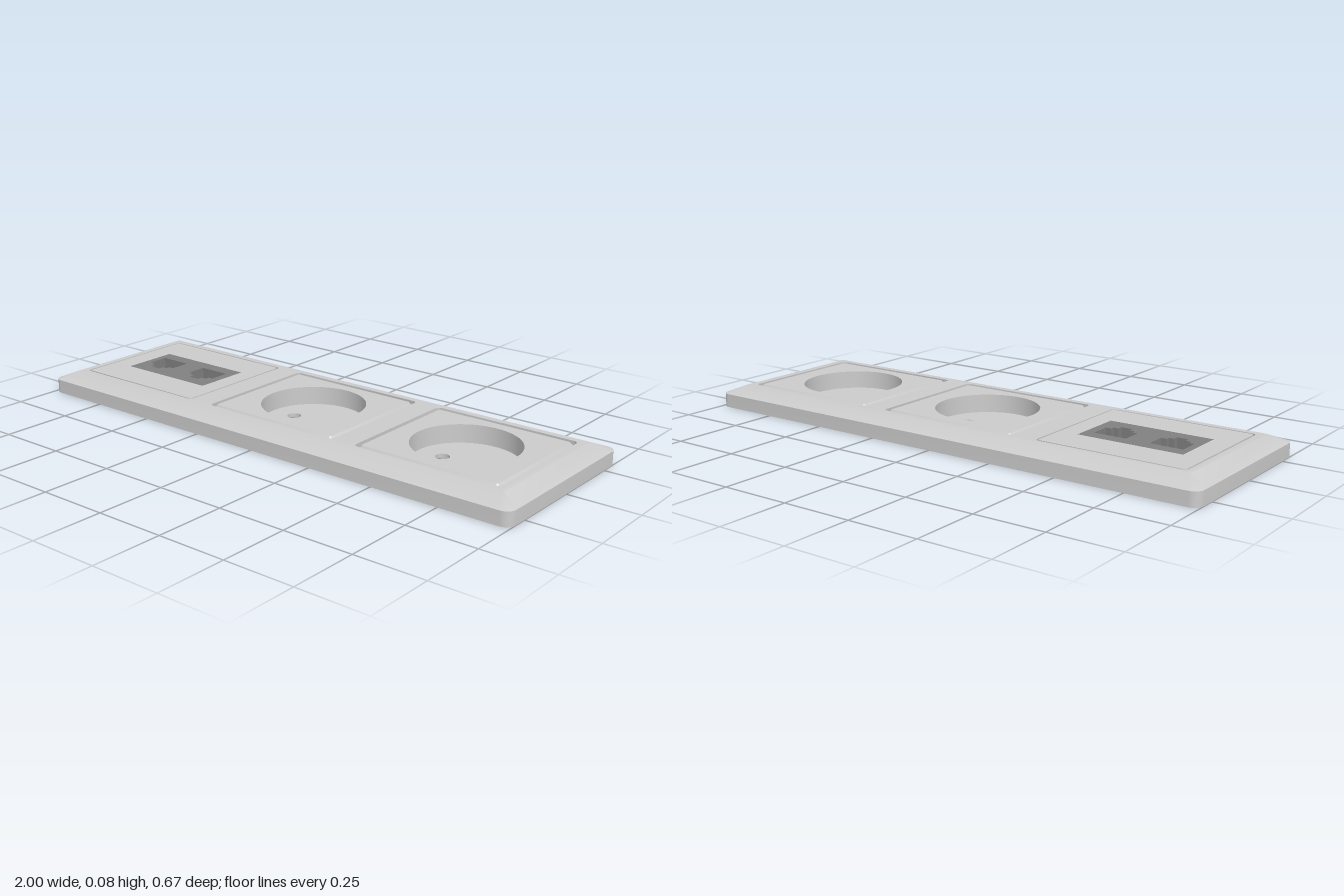
import * as THREE from 'three';
import { mergeGeometries, toCreasedNormals } from 'three/addons/utils/BufferGeometryUtils.js';

const grey = new THREE.MeshStandardMaterial({ color: 0xcccccc });
const dark = new THREE.MeshStandardMaterial({ color: 0x808080 });
const TOP = 0.078;

// Outlines are anticlockwise in the plan plane (x, -z).
function roundedRect(cx, w, d, r, n = 6) {
  const pts = [];
  [[1, 1], [-1, 1], [-1, -1], [1, -1]].forEach(([sx, sy], q) => {
    for (let i = 0; i <= n; i++) {
      const a = (q + i / n) * Math.PI / 2;
      pts.push(new THREE.Vector2(
        cx + sx * (w / 2 - r) + r * Math.cos(a), sy * (d / 2 - r) + r * Math.sin(a)));
    }
  });
  return pts;
}

function rect(cx, w, d) {
  return [[1, 1], [-1, 1], [-1, -1], [1, -1]].map(([sx, sy]) =>
    new THREE.Vector2(cx + sx * w / 2, sy * d / 2));
}

function circle(cx, r, n) {
  return Array.from({ length: n }, (_, i) => {
    const a = i / n * Math.PI * 2;
    return new THREE.Vector2(cx + r * Math.cos(a), r * Math.sin(a));
  });
}

// Wall joining two outlines of equal length; faces outward, or inward for holes.
function wall(lower, y0, upper, y1, inward = false) {
  const pos = [];
  lower.forEach((a, i) => {
    const j = (i + 1) % lower.length;
    const b = lower[j], c = upper[j], d = upper[i];
    const A = [a.x, y0, -a.y], B = [b.x, y0, -b.y], C = [c.x, y1, -c.y], D = [d.x, y1, -d.y];
    pos.push(...(inward ? [A, C, B, A, D, C] : [A, B, C, A, C, D]).flat());
  });
  const g = new THREE.BufferGeometry();
  g.setAttribute('position', new THREE.Float32BufferAttribute(pos, 3));
  return g;
}

function cap(outline, holes, y, down) {
  const shape = new THREE.Shape(outline);
  shape.holes = holes.map(h => new THREE.Path(h));
  const g = new THREE.ShapeGeometry(shape);
  if (down) g.index.array.reverse();
  g.rotateX(-Math.PI / 2).translate(0, y, 0);
  const flat = g.toNonIndexed();
  flat.deleteAttribute('uv');
  flat.deleteAttribute('normal');
  return flat;
}

// Closed slab through a stack of [outline, y] rings, pierced by straight holes.
function slab(name, rings, holes, material = grey) {
  const [first, y0] = rings[0], [last, y1] = rings[rings.length - 1];
  const parts = [cap(first, holes, y0, true), cap(last, holes, y1, false)];
  for (let i = 1; i < rings.length; i++) parts.push(wall(...rings[i - 1], ...rings[i]));
  holes.forEach(h => parts.push(wall(h, y0, h, y1, true)));
  const mesh = new THREE.Mesh(toCreasedNormals(mergeGeometries(parts), 0.4), material);
  mesh.name = name;
  return mesh;
}

// Power socket: chamfered plate with a round well and two pin holes.
function socket(name, x) {
  const g = new THREE.Group();
  g.name = name;
  const floorY = 0.012, edge = roundedRect(0, 0.528, 0.468, 0.012);
  const pins = [-0.09, 0.09].map(px => circle(px, 0.025, 24));
  g.add(
    slab('socketFloor', [[edge, 0], [edge, floorY]], pins),
    slab('socketPlate', [[edge, floorY], [edge, TOP - 0.012],
      [roundedRect(0, 0.51, 0.45, 0.008), TOP]], [circle(0, 0.185, 64)]));
  g.position.x = x;
  return g;
}

// Stepped opening of a network jack.
function jackOutline(cx) {
  const half = [[0.06, 0.056], [0.06, -0.02], [0.04, -0.02], [0.04, -0.036],
    [0.021, -0.036], [0.021, -0.056]];
  const left = half.map(([x, y]) => new THREE.Vector2(cx - x, y));
  const right = half.map(([x, y]) => new THREE.Vector2(cx + x, y)).reverse();
  return [...left, ...right];
}

// Network outlet: flat plate with a dark insert holding two jacks.
function networkOutlet(x) {
  const g = new THREE.Group();
  g.name = 'networkOutlet';
  const edge = roundedRect(0, 0.532, 0.472, 0.012);
  const insert = rect(0.005, 0.385, 0.21), floorY = 0.01;
  g.add(
    slab('networkPlate', [[edge, 0], [edge, TOP]], [insert]),
    slab('jackFloor', [[insert, 0], [insert, floorY]], [], dark),
    slab('jackBlock', [[insert, floorY], [insert, TOP]],
      [jackOutline(-0.102), jackOutline(0.105)], dark));
  g.position.x = x;
  return g;
}

export function createModel() {
  const model = new THREE.Group();
  model.name = 'wallOutletPanel';
  const centres = [-0.638, 0, 0.635];

  // Frame with sloping rim and three windows
  const base = roundedRect(0, 2, 0.67, 0.035);
  model.add(slab('frame',
    [[base, 0], [base, 0.05], [roundedRect(0, 1.87, 0.535, 0.004), TOP]],
    centres.map(x => roundedRect(x, 0.546, 0.486, 0.018))));

  model.add(
    networkOutlet(centres[0]),
    socket('middleSocket', centres[1]),
    socket('leftSocket', centres[2]));
  return model;
}
